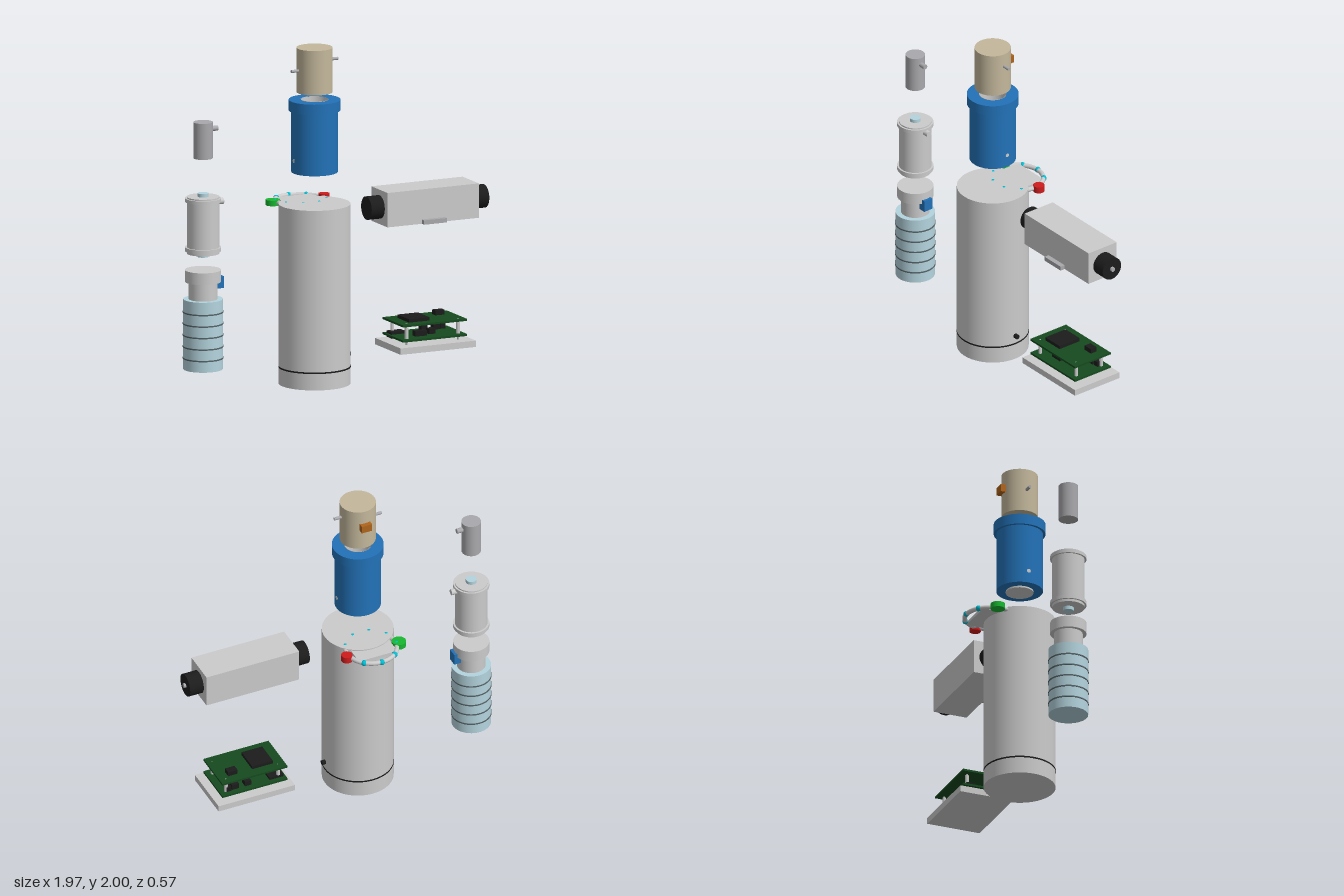
import * as THREE from 'three';

const mat = (color = 0xcccccc) => new THREE.MeshStandardMaterial({ color });
const GREY = mat(), BLACK = mat(0x1c1c1c), BLUE = mat(0x2272b8), PALE = mat(0xb4d4de),
  TAN = mat(0xc4b89c), STEEL = mat(0xa9a9ad), GREEN = mat(0x154a1e), CYAN = mat(0x00bcd0),
  RED = mat(0xd01c1c), LIME = mat(0x18b830), BROWN = mat(0xb0651c), DARK = mat(0x566468);

function add(parent, name, geometry, material, x = 0, y = 0, z = 0) {
  const m = new THREE.Mesh(geometry, material);
  m.name = name;
  m.position.set(x, y, z);
  parent.add(m);
  return m;
}

// Upright cylinder from y0 to y1
const post = (p, name, material, r, y0, y1, x = 0, z = 0) =>
  add(p, name, new THREE.CylinderGeometry(r, r, y1 - y0, 48), material, x, (y0 + y1) / 2, z);

// Cylinder lying along x from x0 to x1
const pin = (p, name, material, r, x0, x1, y, z = 0) => {
  const m = add(p, name, new THREE.CylinderGeometry(r, r, x1 - x0, 32), material, (x0 + x1) / 2, y, z);
  m.rotation.z = -Math.PI / 2;
  return m;
};

// Box given by its minimum and maximum corners
const block = (p, name, material, x0, x1, y0, y1, z0, z1) =>
  add(p, name, new THREE.BoxGeometry(x1 - x0, y1 - y0, z1 - z0), material,
    (x0 + x1) / 2, (y0 + y1) / 2, (z0 + z1) / 2);

function group(parent, name, x, z) {
  const g = new THREE.Group();
  g.name = name;
  g.position.set(x, 0, z);
  parent.add(g);
  return g;
}

// Large housing with base seam, side port and the tubing ring at its top
function buildHousing(root) {
  const g = group(root, 'housing', -0.14, 0.07);
  post(g, 'housingBase', GREY, 0.21, 0, 0.1);
  post(g, 'housingSeam', BLACK, 0.2115, 0.098, 0.107);
  post(g, 'housingBody', GREY, 0.21, 0.105, 1.07);
  pin(g, 'sidePort', BLACK, 0.014, 0.2, 0.232, 0.155);

  const ring = group(g, 'tubingRing', 0, -0.185);
  ring.position.y = 1.055;
  add(ring, 'tube', new THREE.TorusGeometry(0.15, 0.014, 16, 72), GREY).rotation.x = Math.PI / 2;
  for (let i = 0; i < 9; i++) {
    const a = i * Math.PI * 2 / 9;
    add(ring, 'tubeBead', new THREE.SphereGeometry(0.0175, 20, 14), CYAN,
      0.152 * Math.sin(a), 0, -0.152 * Math.cos(a));
  }
  block(ring, 'mountPlate', GREY, -0.123, 0.123, -0.01, 0.008, -0.1, 0.1);
  post(ring, 'redConnector', RED, 0.033, -0.02, 0.02, 0.167, -0.025);
  post(ring, 'greenConnector', LIME, 0.042, -0.018, 0.015, -0.167, -0.025);
}

// Collared cup with a lined bore and a cross pin
function buildCup(root) {
  const g = group(root, 'cup', -0.14, 0.07);
  const profile = [[0.08, 1.26], [0.136, 1.26], [0.136, 1.627], [0.151, 1.627], [0.151, 1.69], [0.08, 1.69]];
  // Each profile segment is turned separately to keep the rims sharp
  for (let i = 0; i < profile.length - 1; i++) {
    const pts = [profile[i], profile[i + 1]].map(p => new THREE.Vector2(...p));
    add(g, 'cupShell', new THREE.LatheGeometry(pts, 64), BLUE);
  }
  const bore = mat();
  bore.side = THREE.DoubleSide;
  add(g, 'boreLiner', new THREE.CylinderGeometry(0.081, 0.081, 0.442, 48, 1, true), bore, 0, 1.471, 0);
  post(g, 'boreFloor', GREY, 0.081, 1.25, 1.3);
  pin(g, 'crossPin', GREY, 0.012, -0.137, 0.137, 1.335);
}

// Plug with two side pins and a rear terminal block
function buildPlug(root) {
  const g = group(root, 'plug', -0.14, 0.07);
  post(g, 'plugBody', TAN, 0.106, 1.735, 2);
  pin(g, 'rightPin', STEEL, 0.009, -0.152, -0.09, 1.87);
  pin(g, 'leftPin', STEEL, 0.009, 0.09, 0.152, 1.92);
  block(g, 'terminalBlock', BROWN, -0.032, 0.034, 1.868, 1.915, -0.132, -0.09);
}

// Rectangular camera-like unit with a round barrel on each end
function buildBoxUnit(root) {
  const g = group(root, 'boxUnit', 0, 0.067);
  block(g, 'unitBody', GREY, 0.285, 0.88, 0.905, 1.11, -0.105, 0.105);
  pin(g, 'rightBarrel', BLACK, 0.069, 0.2, 0.286, 1.008);
  pin(g, 'leftBarrel', BLACK, 0.069, 0.879, 0.967, 1.008);
  pin(g, 'barrelTip', STEEL, 0.014, 0.96, 0.98, 1.008);
  block(g, 'frontConnector', STEEL, 0.508, 0.658, 0.905, 0.931, 0.1, 0.135);
}

// Three-piece column: small sleeve, flanged chamber, ribbed vessel
function buildColumn(root) {
  const g = group(root, 'column', -0.866, 0.067);
  post(g, 'sleeve', STEEL, 0.057, 1.41, 1.625);
  pin(g, 'sleevePin', STEEL, 0.015, 0.04, 0.094, 1.58);

  post(g, 'chamberBody', GREY, 0.095, 0.843, 1.181);
  post(g, 'chamberTopFlange', GREY, 0.106, 1.152, 1.173);
  post(g, 'chamberBottomFlange', GREY, 0.106, 0.858, 0.881);
  post(g, 'chamberTopPort', PALE, 0.032, 1.17, 1.201);
  post(g, 'chamberBottomPort', PALE, 0.032, 0.822, 0.85);
  pin(g, 'chamberPin', GREY, 0.018, 0.08, 0.13, 1.143);

  post(g, 'vesselCap', GREY, 0.106, 0.675, 0.745);
  post(g, 'vesselNeck', GREY, 0.084, 0.56, 0.68);
  block(g, 'vesselSwitch', BLUE, 0.07, 0.122, 0.63, 0.7, -0.03, 0.03);
  post(g, 'vesselBody', PALE, 0.116, 0.155, 0.572);
  for (let i = 0; i < 5; i++) {
    const y = 0.222 + i * 0.0685;
    post(g, 'vesselRib', DARK, 0.119, y - 0.004, y + 0.004);
  }
}

// Base plate carrying two stacked circuit boards
function buildBoards(root) {
  const g = group(root, 'circuitStack', 0, 0.067);
  block(g, 'basePlate', GREY, 0.34, 0.83, 0.152, 0.19, -0.166, 0.166);
  for (const y of [0.215, 0.305])
    block(g, 'circuitBoard', GREEN, 0.373, 0.79, y, y + 0.012, -0.133, 0.133);
  for (const x of [0.415, 0.75])
    for (const z of [-0.093, 0.093]) {
      post(g, 'standoff', GREY, 0.011, 0.227, 0.297, x, z);
      post(g, 'standoffScrew', STEEL, 0.006, 0.19, 0.317, x, z);
    }
  // Upper board chips
  block(g, 'mainChip', BLACK, 0.44, 0.573, 0.317, 0.337, -0.075, 0.075);
  block(g, 'cornerChip', BLACK, 0.668, 0.728, 0.317, 0.345, -0.078, -0.035);
  // Lower board chips
  block(g, 'edgeConnector', BLACK, 0.385, 0.475, 0.205, 0.242, -0.105, -0.045);
  for (const [x, w, z] of [[0.525, 0.075, 0.045], [0.61, 0.04, -0.08], [0.69, 0.045, -0.08], [0.735, 0.03, -0.085], [0.61, 0.04, 0.02]])
    block(g, 'smallChip', BLACK, x - w / 2, x + w / 2, 0.225, 0.258, z - 0.02, z + 0.02);
}

export function createModel() {
  const root = new THREE.Group();
  root.name = 'explodedAssembly';
  for (const build of [buildHousing, buildCup, buildPlug, buildBoxUnit, buildColumn, buildBoards]) build(root);
  return root;
}
